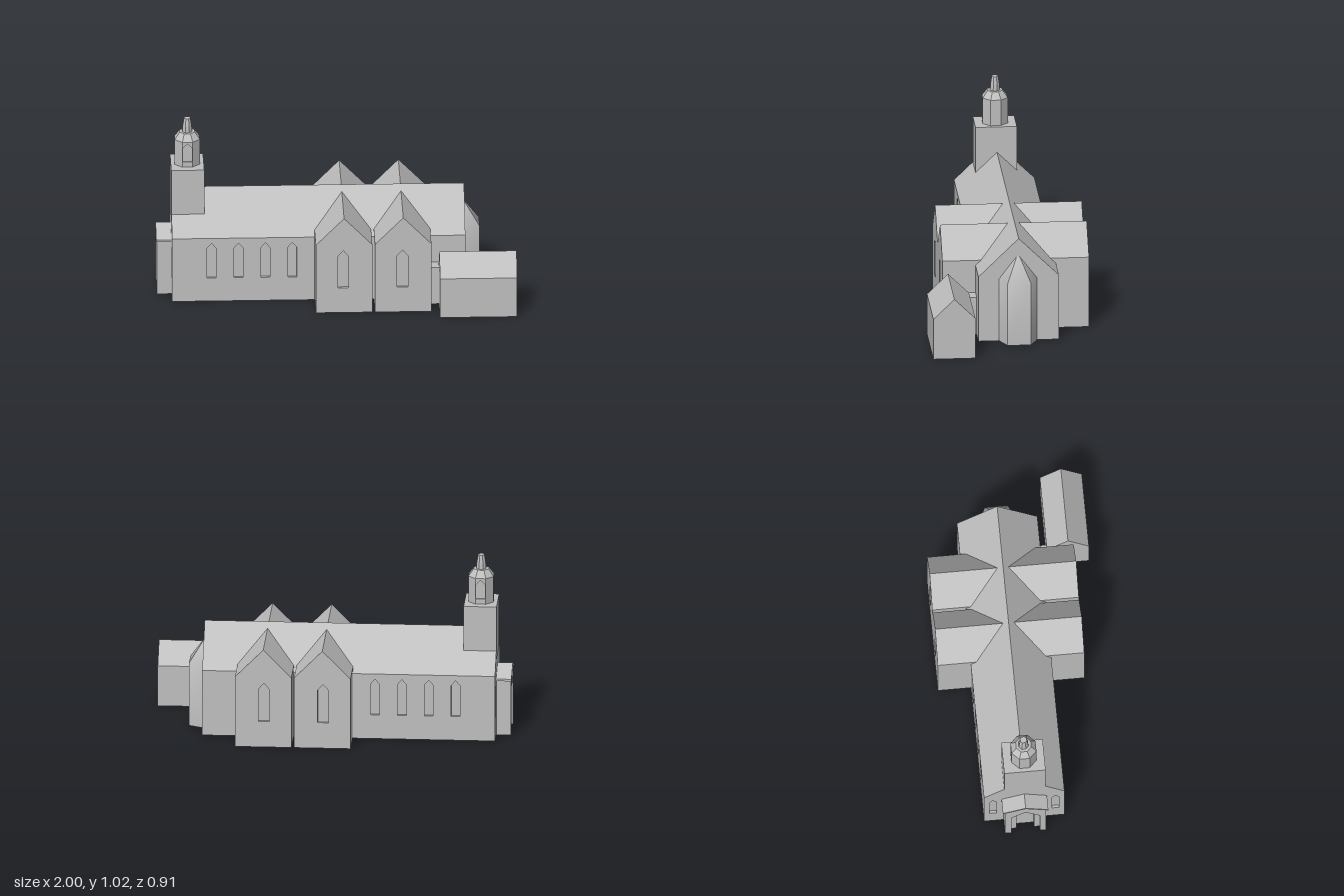
import * as THREE from 'three';
import { toCreasedNormals } from 'three/addons/utils/BufferGeometryUtils.js';

const AXIS = -0.045;  // z of the ridge line
const REVEAL = 0.015; // depth of the window recesses

const polygon = (pts) => new THREE.Shape(pts.map(([x, y]) => new THREE.Vector2(x, y)));
const gable = (w, eave, ridge) =>
  polygon([[-w / 2, 0], [w / 2, 0], [w / 2, eave], [0, ridge], [-w / 2, eave]]);

// Pointed window opening
function lancet(cx, w, sill, spring, top) {
  const h = w / 2;
  return new THREE.Path([[cx - h, sill], [cx - h, spring], [cx, top], [cx + h, spring], [cx + h, sill]]
    .map(([x, y]) => new THREE.Vector2(x, y)));
}

function pierced(shape, ...holes) {
  shape.holes.push(...holes);
  return shape;
}

const extrude = (shape, depth) =>
  new THREE.ExtrudeGeometry(shape, { depth, bevelEnabled: false });
const alongZ = (shape, z0, z1, x) => extrude(shape, z1 - z0).translate(x, 0, z0);
const alongX = (shape, x0, x1, z) => extrude(shape, x1 - x0).rotateY(Math.PI / 2).translate(x0, 0, z);
const alongY = (shape, y0, y1, x, z) => extrude(shape, y1 - y0).rotateX(-Math.PI / 2).translate(x, y0, z);

export function createModel() {
  const model = new THREE.Group();
  model.name = 'church';
  const stone = new THREE.MeshStandardMaterial({ color: 0xc0c0c0 });
  stone.name = 'light grey stone';

  const add = (name, geometry, parent = model) => {
    const mesh = new THREE.Mesh(geometry, stone);
    mesh.name = name;
    parent.add(mesh);
    return mesh;
  };
  const section = (name) => {
    const g = new THREE.Group();
    g.name = name;
    model.add(g);
    return g;
  };

  // Nave: a core with set-back walls, faced by pierced wall slabs
  const nave = section('nave');
  const x0 = -0.915, x1 = 0.72, half = 0.225, eave = 0.38, ridge = 0.6;
  const inner = half - REVEAL;
  add('naveCore', alongX(polygon([[-inner, 0], [inner, 0], [inner, eave], [half, eave],
    [0, ridge], [-half, eave], [-inner, eave]]), x0 + REVEAL, x1, AXIS), nave);
  const sideWall = () => pierced(
    polygon([[x0 + REVEAL, 0], [x1, 0], [x1, eave], [x0 + REVEAL, eave]]),
    ...[-0.695, -0.545, -0.395, -0.245].map((x) => lancet(x, 0.05, 0.14, 0.32, 0.35)));
  add('frontNaveWall', alongZ(sideWall(), AXIS + inner, AXIS + half, 0), nave);
  add('backNaveWall', alongZ(sideWall(), AXIS - half, AXIS - inner, 0), nave);
  add('entranceWall', alongX(pierced(gable(half * 2, eave, ridge),
    ...[-0.175, 0.175].map((u) => lancet(u, 0.04, 0.12, 0.29, 0.32))), x0, x0 + REVEAL, AXIS), nave);

  // Two pairs of transepts crossing the nave
  for (const x of [0.0375, 0.3675]) {
    const transept = section('transept');
    const zb = -0.455, zf = 0.365, w = 0.315;
    const gableWall = () => pierced(gable(w, 0.41, 0.57), lancet(-0.004, 0.06, 0.15, 0.34, 0.375));
    add('transeptCore', alongZ(gable(w, 0.41, 0.57), zb + REVEAL, zf - REVEAL, x), transept);
    add('frontGableWall', alongZ(gableWall(), zf - REVEAL, zf, x), transept);
    add('backGableWall', alongZ(gableWall(), zb, zb + REVEAL, x), transept);
  }

  // Three-sided apse with a pointed roof
  const plan = [[x1, 0.107, 0.008], [0.805, 0.065, 0.008], [0.805, -0.065, -0.008], [x1, -0.107, -0.008]];
  const zc = -0.042, verts = [];
  const quad = (a, b, c, d) => verts.push(...a, ...b, ...c, ...a, ...c, ...d);
  const ground = plan.map(([x, z]) => [x, 0, zc + z]);
  const eaves = plan.map(([x, z]) => [x, 0.365, zc + z]);
  const apex = plan.map(([, , z]) => [x1, 0.495, zc + z]);
  for (let i = 0; i < 3; i++) {
    quad(ground[i], ground[i + 1], eaves[i + 1], eaves[i]);
    if (i === 1) quad(eaves[1], eaves[2], apex[2], apex[1]);
    else verts.push(...eaves[i], ...eaves[i + 1], ...apex[i]);
  }
  quad(ground[3], ground[2], ground[1], ground[0]);
  const apse = new THREE.BufferGeometry();
  apse.setAttribute('position', new THREE.Float32BufferAttribute(verts, 3));
  add('apse', toCreasedNormals(apse, 0.62));

  // Side annex and the low passage joining it to the nave
  add('annex', alongX(gable(0.235, 0.235, 0.35), 0.57, 1, 0.3375));
  add('passage', new THREE.BoxGeometry(0.09, 0.22, 0.11).translate(0.56, 0.11, 0.205));

  // Entrance porch: stepped portal under a small pitched roof
  const porch = section('porch');
  const portal = (w, spring, top) => polygon([[-0.115, 0], [-w, 0], [-w, spring], [0, top],
    [w, spring], [w, 0], [0.115, 0], [0.115, 0.32], [0, 0.378], [-0.115, 0.32]]);
  add('outerPortal', alongX(portal(0.08, 0.24, 0.31), -0.997, -0.972, AXIS), porch);
  add('innerPortal', alongX(portal(0.05, 0.22, 0.27), -0.972, -0.945, AXIS), porch);
  add('porchBack', alongX(gable(0.23, 0.32, 0.378), -0.945, x0, AXIS), porch);
  add('porchRoof', alongX(polygon([[-0.127, 0.32], [0, 0.373], [0.127, 0.32],
    [0.127, 0.332], [0, 0.387], [-0.127, 0.332]]), -1, x0, AXIS), porch);

  // Bell tower
  const tower = section('tower');
  const tx = -0.824, tz = -0.041;
  add('towerShaft', new THREE.BoxGeometry(0.184, 0.31, 0.231).translate(tx, 0.595, tz), tower);

  // Octagonal lantern, notched front and back for its pierced panels
  const a = 0.07, s = 0.029, d = 0.012;
  add('lantern', alongY(polygon([[a, -s], [a, s], [s, a], [s, a - d], [-s, a - d], [-s, a],
    [-a, s], [-a, -s], [-s, -a], [-s, d - a], [s, d - a], [s, -a]]), 0.75, 0.9, tx, tz), tower);
  const panel = () => pierced(polygon([[-s, 0.75], [s, 0.75], [s, 0.9], [-s, 0.9]]),
    lancet(0, 0.05, 0.78, 0.865, 0.89));
  add('frontLanternPanel', alongZ(panel(), tz + a - d, tz + a, tx), tower);
  add('backLanternPanel', alongZ(panel(), tz - a, tz - a + d, tx), tower);

  // Faceted cap and pinnacle, sized by the distance to their flats
  const facet = (name, top, bottom, y0, y1) => {
    const k = 1 / Math.cos(Math.PI / 8);
    const g = new THREE.CylinderGeometry(top * k, bottom * k, y1 - y0, 8).rotateY(Math.PI / 8)
      .translate(tx, (y0 + y1) / 2, tz).toNonIndexed();
    g.computeVertexNormals();
    add(name, g, tower);
  };
  facet('lanternCap', 0.042, 0.07, 0.9, 0.94);
  facet('pinnacleBase', 0.025, 0.027, 0.94, 0.975);
  facet('pinnacleTop', 0.018, 0.025, 0.975, 1.02);

  return model;
}
